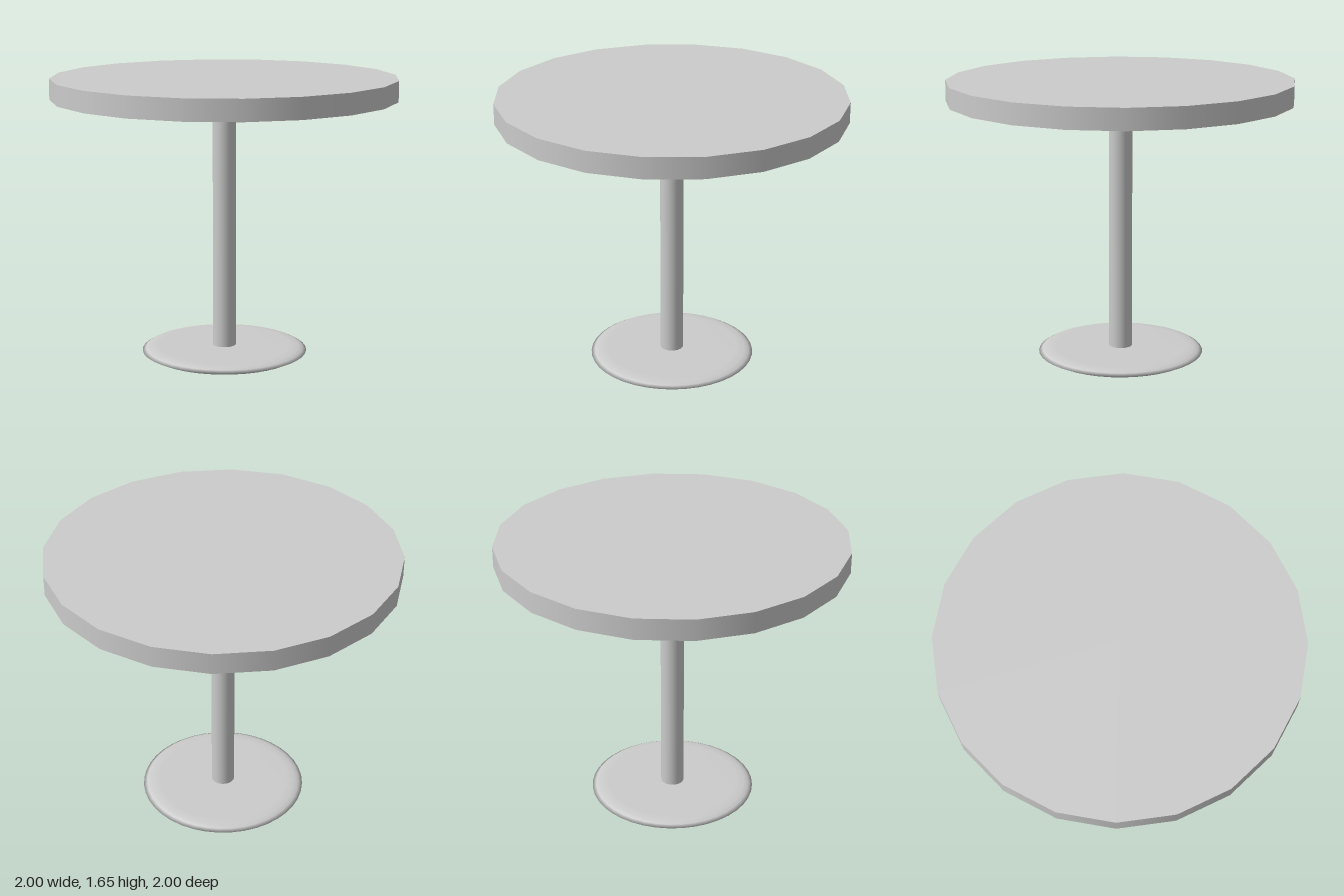
import * as THREE from 'three';

const material = new THREE.MeshStandardMaterial({ color: 0xcccccc });

function addPart(group, name, geometry, y = 0) {
  const mesh = new THREE.Mesh(geometry, material);
  mesh.name = name;
  mesh.position.y = y;
  group.add(mesh);
}

export function createModel() {
  const table = new THREE.Group();
  table.name = 'pedestalTable';

  // Twenty-sided top with corners on the x and z axes
  addPart(table, 'tableTop', new THREE.CylinderGeometry(1, 1, 0.12, 20), 1.595);

  // Round column, set slightly into the base
  addPart(table, 'column', new THREE.CylinderGeometry(0.068, 0.068, 1.495, 32), 0.7875);

  // Flat disc foot with a soft bevelled rim, profile from bottom to top
  const profile = [
    [0, 0], [0.36, 0.002], [0.41, 0.006], [0.45, 0.015], [0.487, 0.033],
    [0.465, 0.046], [0.44, 0.055], [0.39, 0.059], [0, 0.06],
  ].map(([r, y]) => new THREE.Vector2(r, y));
  addPart(table, 'base', new THREE.LatheGeometry(profile, 40));

  return table;
}
